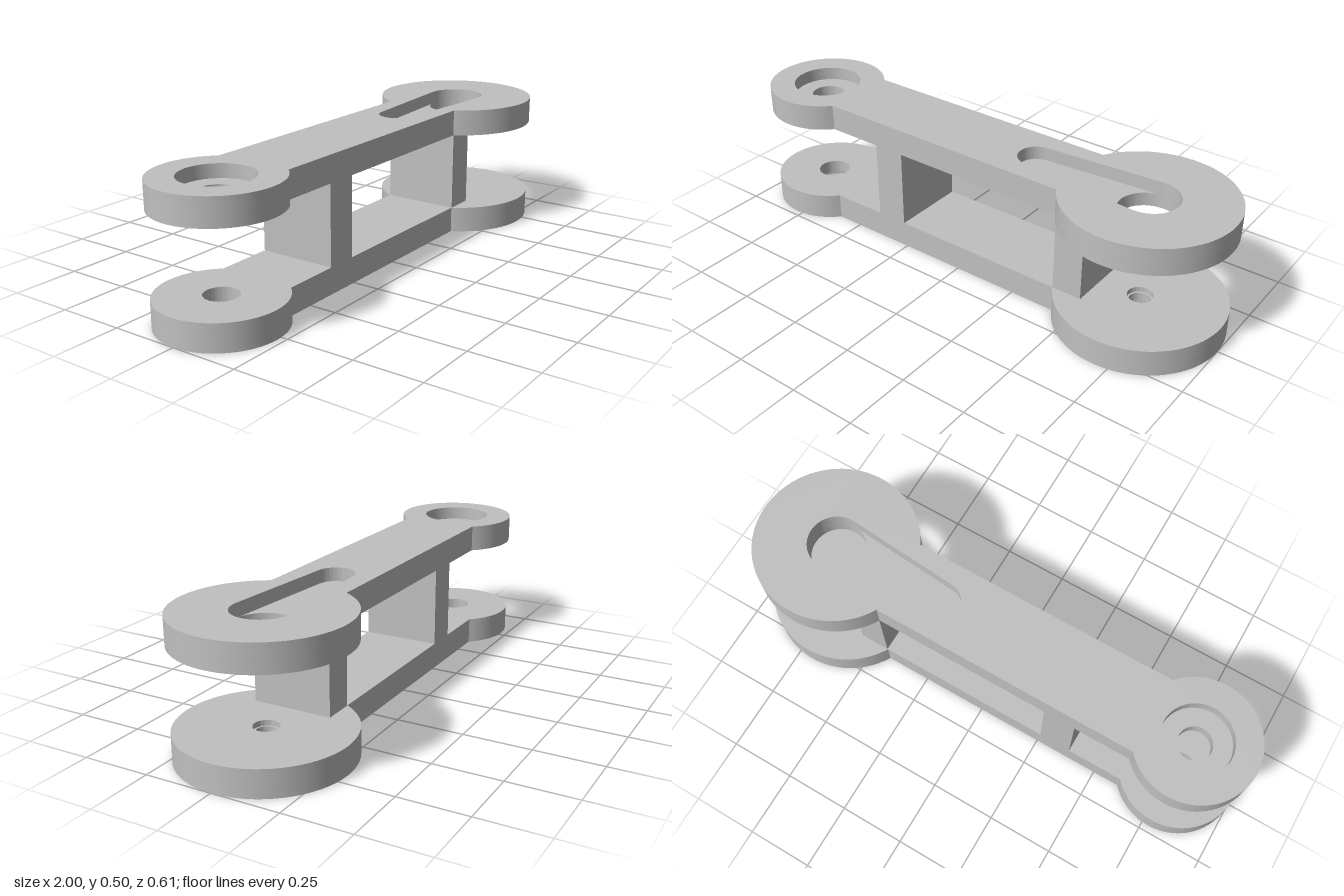
import * as THREE from 'three';
import { toCreasedNormals } from 'three/addons/utils/BufferGeometryUtils.js';

const SMALL = { x: -0.774, r: 0.226 };
const BIG = { x: 0.693, r: 0.307 };
const HALF = 0.148; // half width of the bar

// Closed outline: big round end, straight bar, small round end
function outline() {
  const a = Math.PI - Math.asin(HALF / BIG.r);
  const b = Math.asin(HALF / SMALL.r);
  const s = new THREE.Shape();
  s.absarc(BIG.x, 0, BIG.r, -a, a, false);
  s.absarc(SMALL.x, 0, SMALL.r, b, 2 * Math.PI - b, false);
  s.closePath();
  return s;
}

function circle(x, r) {
  const p = new THREE.Path();
  p.absarc(x, 0, r, 0, Math.PI * 2, true);
  return p;
}

// Tapered slot: two circles joined by their tangents
function taperedSlot(x1, r1, x2, r2) {
  const a = Math.acos(-(r1 - r2) / (x1 - x2));
  const p = new THREE.Path();
  p.absarc(x1, 0, r1, -a, a, false);
  p.absarc(x2, 0, r2, a, 2 * Math.PI - a, false);
  p.closePath();
  return p;
}

export function createModel() {
  const group = new THREE.Group();
  const grey = new THREE.MeshStandardMaterial({ color: 0xc0c0c0 });
  grey.name = 'light grey';

  // Each plate is stacked from layers so that recesses get real floors
  function layer(parent, name, y0, y1, holes) {
    const shape = outline();
    shape.holes.push(...holes);
    const geo = new THREE.ExtrudeGeometry(shape, { depth: y1 - y0, bevelEnabled: false, curveSegments: 32 });
    geo.rotateX(-Math.PI / 2);
    geo.translate(0, y0, 0);
    const mesh = new THREE.Mesh(toCreasedNormals(geo, 0.5), grey);
    mesh.name = name;
    parent.add(mesh);
  }

  // Lower plate: counterbored small end, stepped pin hole in the big end
  const lower = new THREE.Group();
  lower.name = 'lowerPlate';
  layer(lower, 'lowerPlateOuterLayer', 0, 0.05, [circle(SMALL.x, 0.13), circle(BIG.x, 0.055)]);
  layer(lower, 'lowerPlateMiddleLayer', 0.05, 0.08, [circle(SMALL.x, 0.062), circle(BIG.x, 0.039)]);
  layer(lower, 'lowerPlateInnerLayer', 0.08, 0.1, [circle(SMALL.x, 0.062), circle(BIG.x, 0.046)]);

  // Upper plate: counterbored small end, tapered pocket around the big through hole
  const upper = new THREE.Group();
  upper.name = 'upperPlate';
  layer(upper, 'upperPlateInnerLayer', 0.4, 0.45, [circle(SMALL.x, 0.062), circle(BIG.x, 0.107)]);
  layer(upper, 'upperPlateOuterLayer', 0.45, 0.5, [circle(SMALL.x, 0.13), taperedSlot(BIG.x, 0.107, 0.245, 0.07)]);
  group.add(lower, upper);

  // Two cross walls holding the plates apart
  for (const [name, x0, x1] of [['smallEndWall', -0.385, -0.262], ['bigEndWall', 0.426, 0.54]]) {
    const wall = new THREE.Mesh(new THREE.BoxGeometry(x1 - x0, 0.3, HALF * 2), grey);
    wall.position.set((x0 + x1) / 2, 0.25, 0);
    wall.name = name;
    group.add(wall);
  }
  return group;
}
